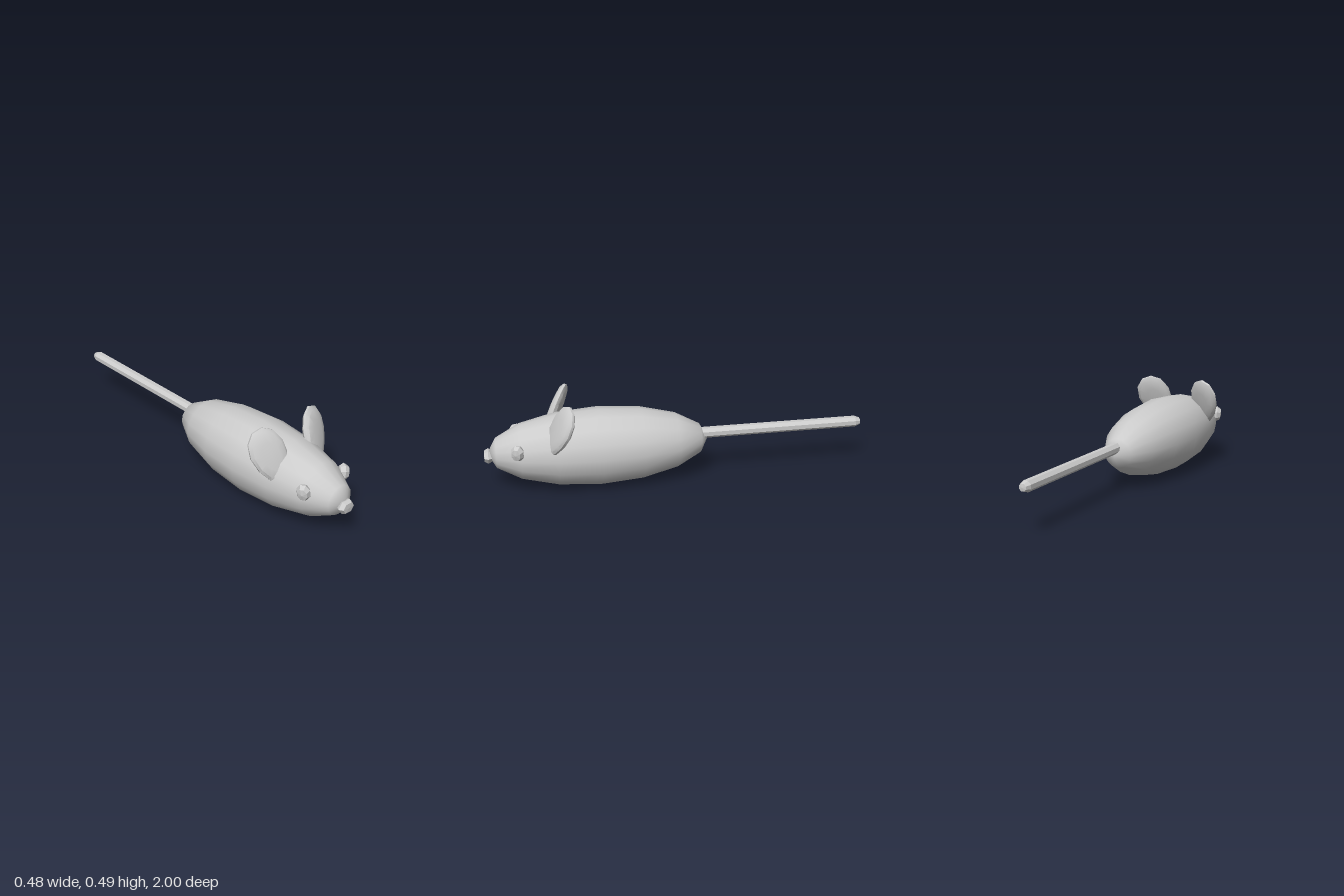
import * as THREE from 'three';
import { toCreasedNormals } from 'three/addons/utils/BufferGeometryUtils.js';

const smooth = new THREE.MeshStandardMaterial({ color: 0xcccccc });
const faceted = new THREE.MeshStandardMaterial({ color: 0xcccccc, flatShading: true });

function part(name, geometry, material, x, y, z) {
  const mesh = new THREE.Mesh(geometry, material);
  mesh.name = name;
  mesh.position.set(x, y, z);
  return mesh;
}

// Turned shape whose axis points along z
function turned(profile, sides, start = 0) {
  const points = profile.map(([r, z]) => new THREE.Vector2(r, z));
  return new THREE.LatheGeometry(points, sides, start).rotateX(Math.PI / 2);
}

// Thick, flattened disc, narrowed at the root, leaning back and outwards
function earGeometry(side) {
  const geo = turned([[0, -0.027], [0.5, -0.026], [0.86, -0.019], [1, -0.006], [1, 0.006], [0.86, 0.019], [0.5, 0.026], [0, 0.027]], 12, Math.PI / 12);
  const p = geo.attributes.position;
  for (let i = 0; i < p.count; i++) {
    const y = p.getY(i);
    p.setXYZ(i, p.getX(i) * (0.09 + 0.016 * y), y * 0.147, p.getZ(i));
  }
  const up = new THREE.Vector3(0.24 * side, 0.87, -0.42).normalize();
  const out = new THREE.Vector3(1, -0.2 * side, -0.3 * side);
  out.addScaledVector(up, -out.dot(up)).normalize();
  const front = new THREE.Vector3().crossVectors(out, up);
  geo.applyMatrix4(new THREE.Matrix4().makeBasis(out, up, front));
  return toCreasedNormals(geo, 0.6);
}

export function createModel() {
  const model = new THREE.Group();
  model.name = 'mouse';

  // Long egg-shaped body with its poles at the nose and the tail
  const body = new THREE.SphereGeometry(1, 16, 8).rotateX(Math.PI / 2).scale(0.202, 0.202, 0.572);
  model.add(part('body', body, smooth, 0, 0.204, 0.41));

  // Six-sided nose
  const nose = turned([[0, -0.022], [0.74, -0.02], [1, 0], [0.74, 0.02], [0, 0.022]], 6, Math.PI / 2);
  nose.scale(0.048, 0.0375, 1);
  model.add(part('nose', nose, faceted, 0, 0.19, 0.978));

  // Tail with a blunt end
  const tail = turned([[0, -0.995], [0.02, -0.992], [0.031, -0.965], [0.031, -0.08], [0, -0.08]], 8, Math.PI / 8);
  tail.scale(1, 0.93, 1);
  model.add(part('tail', tail, faceted, 0.006, 0.234, 0));

  // Eyes and ears on both sides
  for (const side of [1, -1]) {
    const label = side > 0 ? 'left' : 'right';
    const eye = turned([[0, -0.028], [0.7, -0.022], [1, 0], [0.7, 0.022], [0, 0.028]], 8, Math.PI / 8);
    eye.scale(0.036, 0.046, 1).rotateY(side * 1.1).rotateZ(side * -0.15);
    model.add(part(label + 'Eye', eye, faceted, side * 0.135, 0.253, 0.833));
    model.add(part(label + 'Ear', earGeometry(side), smooth, side * 0.148, 0.358, 0.618));
  }
  return model;
}
